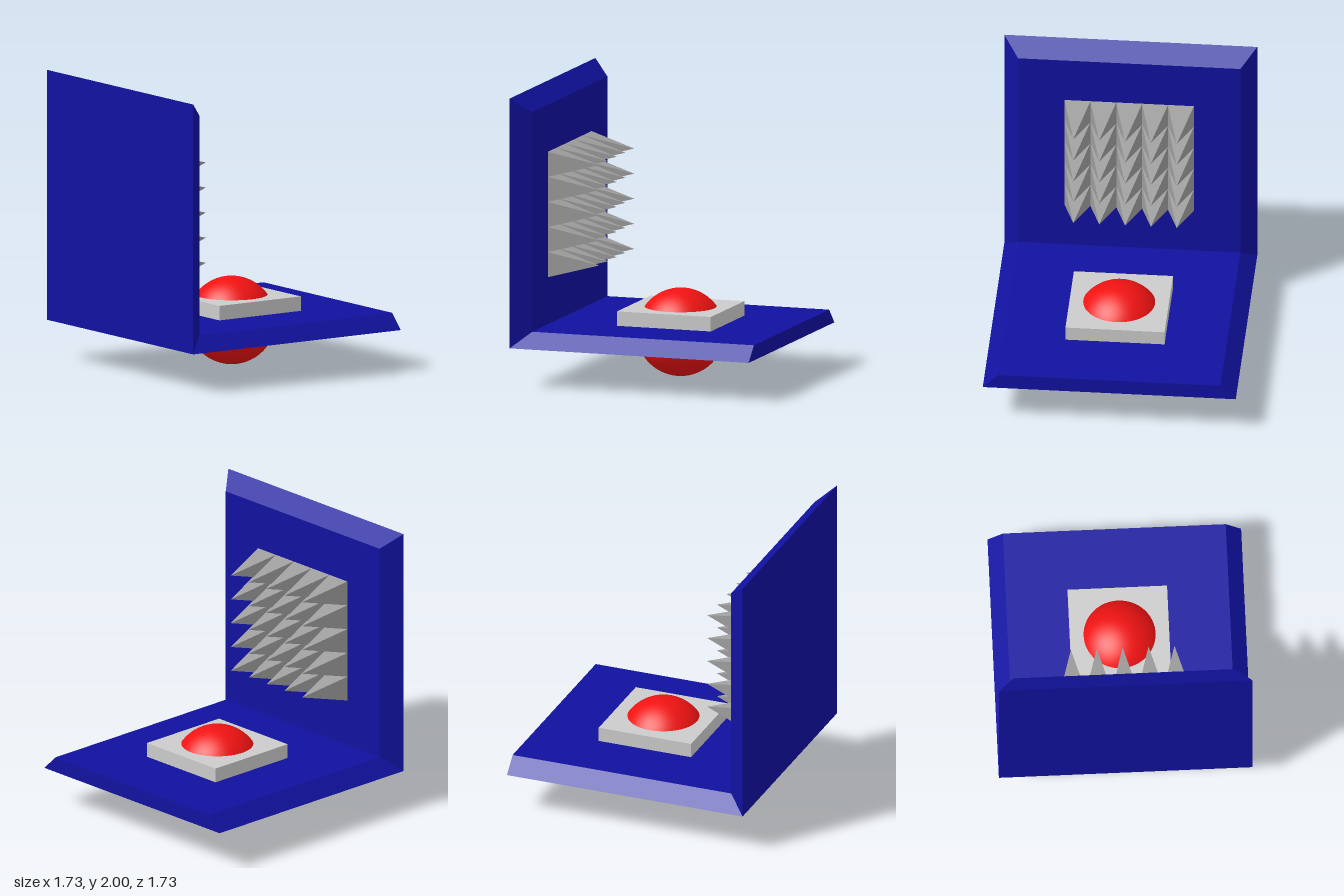
import * as THREE from 'three';

const BLUE = 0x1111a0, RED = 0xf01212, GREY = 0xcccccc, DARK_GREY = 0x9e9e9e;
const OUTER = 0.865; // half size of the plates' outer faces
const INNER = 0.76;  // half width of the bevelled inner faces
const WALL_X = -0.74, FLOOR_Y = 0.378, BASE_Y = 0.273, TOP_Y = 2;

function mesh(name, geometry, color, flatShading = true) {
  const m = new THREE.Mesh(geometry, new THREE.MeshStandardMaterial({ color, flatShading }));
  m.name = name;
  return m;
}

// Unit box whose corners are moved by a rule of their signs (-1 or 1)
function shapedBox(rule) {
  const g = new THREE.BoxGeometry(2, 2, 2);
  const p = g.attributes.position;
  for (let i = 0; i < p.count; i++) {
    p.setXYZ(i, ...rule(p.getX(i), p.getY(i), p.getZ(i)));
  }
  g.computeVertexNormals();
  return g;
}

export function createModel() {
  const model = new THREE.Group();

  // Floor plate: bevelled long sides, mitred against the wall, square right end
  model.add(mesh('floorPlate', shapedBox((x, y, z) => [
    x > 0 ? OUTER : y > 0 ? WALL_X : -OUTER,
    y > 0 ? FLOOR_Y : BASE_Y,
    z * (y > 0 ? INNER : OUTER),
  ]), BLUE));

  // Upright wall plate: bevelled all round towards its inner face
  model.add(mesh('wallPlate', shapedBox((x, y, z) => [
    x > 0 ? WALL_X : -OUTER,
    y > 0 ? (x > 0 ? 1.897 : TOP_Y) : (x > 0 ? FLOOR_Y : BASE_Y),
    z * (x > 0 ? INNER : OUTER),
  ]), BLUE));

  // Square block with the ball passing through it and the floor
  const block = mesh('block', new THREE.BoxGeometry(0.678, 0.1, 0.678), GREY);
  block.position.set(0.063, FLOOR_Y + 0.05, 0);
  model.add(block);

  const ball = mesh('ball', new THREE.SphereGeometry(0.302, 64, 40), RED, false);
  ball.position.set(0.063, 0.302, 0);
  model.add(ball);

  // 5 x 5 grid of square spikes pointing away from the wall
  const spikes = new THREE.Group();
  spikes.name = 'spikes';
  const n = 5, pitchY = 0.1735, pitchZ = 0.1767, length = 0.34;
  const spikeGeometry = new THREE.ConeGeometry(Math.SQRT1_2, 1, 4)
    .rotateY(Math.PI / 4)
    .scale(pitchY, length, pitchZ)
    .rotateZ(-Math.PI / 2);
  for (let row = 0; row < n; row++) {
    for (let col = 0; col < n; col++) {
      const spike = mesh('spike', spikeGeometry, DARK_GREY);
      spike.position.set(WALL_X + length / 2, 1.137 + (row - 2) * pitchY, (col - 2) * pitchZ);
      spikes.add(spike);
    }
  }
  model.add(spikes);

  return model;
}
